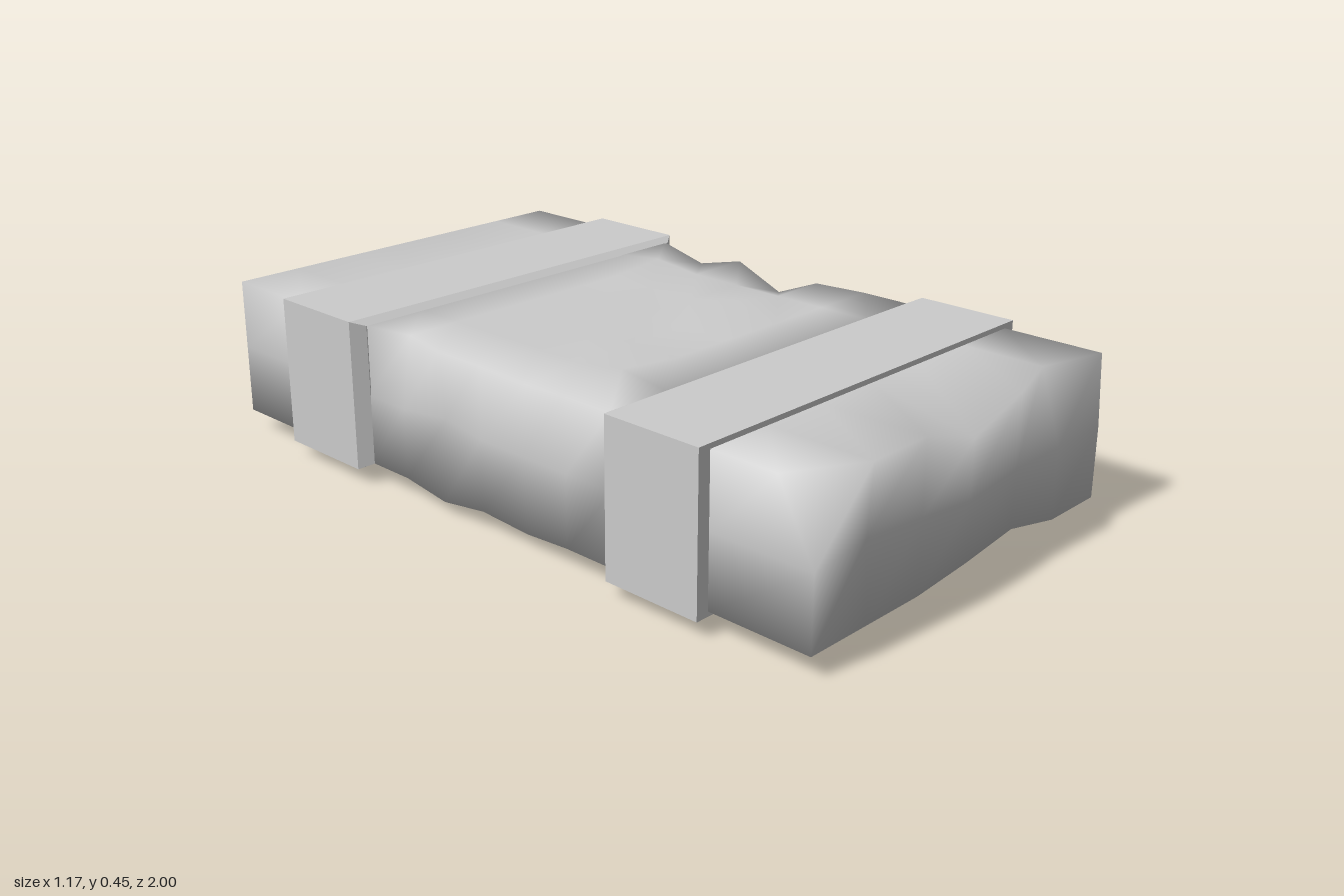
import * as THREE from 'three';
import { mergeVertices } from 'three/addons/utils/BufferGeometryUtils.js';

const material = new THREE.MeshStandardMaterial({ color: 0xcccccc });
const MID_Y = 0.24;

// Soft-shaded block whose rim vertices are nudged: dent = [x, y, z, dx, dy, dz]
function dentedBlock(name, z0, z1, segments, dents) {
  let geo = new THREE.BoxGeometry(1.1, 0.374, z1 - z0, 6, 2, segments);
  geo.translate(0, MID_Y, (z0 + z1) / 2);
  geo.deleteAttribute('normal');
  geo.deleteAttribute('uv');
  geo = mergeVertices(geo, 1e-4);
  const pos = geo.attributes.position;
  const p = new THREE.Vector3();
  const moved = [];
  for (const [x, y, z, dx, dy, dz] of dents) {
    const target = new THREE.Vector3(x, y, z);
    let best = 0, bestDistance = Infinity;
    for (let i = 0; i < pos.count; i++) {
      const d = p.fromBufferAttribute(pos, i).distanceTo(target);
      if (d < bestDistance) { best = i; bestDistance = d; }
    }
    moved.push([best, dx, dy, dz]);
  }
  for (const [i, dx, dy, dz] of moved) {
    pos.setXYZ(i, pos.getX(i) + dx, pos.getY(i) + dy, pos.getZ(i) + dz);
  }
  geo.computeVertexNormals();
  const mesh = new THREE.Mesh(geo, material);
  mesh.name = name;
  return mesh;
}

// Raised band, bevelled toward the middle of the block
function band(name, outer, shoulder, inner) {
  let geo = new THREE.BoxGeometry(1.17, 0.4, 2, 1, 1, 2);
  const pos = geo.attributes.position;
  const side = Math.sign(outer);
  for (let i = 0; i < pos.count; i++) {
    const t = pos.getZ(i) * side;
    if (t < -0.5) {
      pos.setX(i, Math.sign(pos.getX(i)) * 0.55);
      pos.setY(i, Math.sign(pos.getY(i)) * 0.187);
    }
    pos.setZ(i, t > 0.5 ? outer : t < -0.5 ? inner : shoulder);
  }
  geo = geo.toNonIndexed();
  geo.computeVertexNormals();
  const mesh = new THREE.Mesh(geo, material);
  mesh.name = name;
  mesh.position.y = MID_Y;
  return mesh;
}

export function createModel() {
  const group = new THREE.Group();
  group.name = 'bandedBlock';
  const T = 0.427, B = 0.053;

  // Worn middle, chipped along its long edges
  group.add(dentedBlock('middleBlock', -0.45, 0.43, 6, [
    [0.55, T, 0.14, -0.02, 0, 0], [0.55, T, 0, 0, -0.06, 0],
    [0.55, T, -0.28, 0, -0.035, 0], [0.18, T, 0.14, 0.01, 0.026, 0],
    [0.37, T, -0.28, 0, 0.015, 0], [-0.37, T, 0.28, 0, 0.018, 0],
    [-0.55, T, -0.28, 0.03, 0, 0], [-0.55, T, 0.14, 0.01, -0.01, 0],
    [0.55, B, 0.28, 0.015, -0.025, 0], [0.55, B, -0.14, 0, -0.02, 0],
    [0.55, B, -0.28, 0, -0.02, 0], [0.55, MID_Y, 0, -0.02, 0, 0],
    [-0.55, B, 0.14, 0.01, -0.015, 0], [-0.55, B, -0.14, 0, -0.02, 0],
    [-0.55, MID_Y, -0.14, 0.015, 0.01, 0], [0.55, MID_Y, 0.28, 0, 0.02, 0],
  ]));

  // Front end, notched on its outer rim
  group.add(dentedBlock('frontEnd', 0.44, 1, 2, [
    [-0.55, T, 1, 0, 0, -0.1], [0, T, 1, 0, -0.057, 0],
    [0.37, T, 1, 0, 0, -0.06], [0.55, T, 1, 0, 0, -0.01],
    [0, B, 1, 0, 0.015, 0], [0.18, B, 1, 0, 0.037, 0],
    [0, MID_Y, 1, 0, -0.02, 0], [-0.37, MID_Y, 1, 0, 0.01, -0.01],
  ]));

  // Back end, with one corner of the underside sagging to the ground
  group.add(dentedBlock('backEnd', -1, -0.45, 2, [
    [-0.37, B, -1, 0, -B, 0], [0, B, -1, 0, -0.028, 0],
    [0.18, MID_Y, -1, 0, -0.02, 0], [-0.18, MID_Y, -1, 0, 0.02, 0],
  ]));

  group.add(band('frontBand', 0.72, 0.445, 0.42));
  group.add(band('backBand', -0.75, -0.465, -0.44));
  return group;
}
